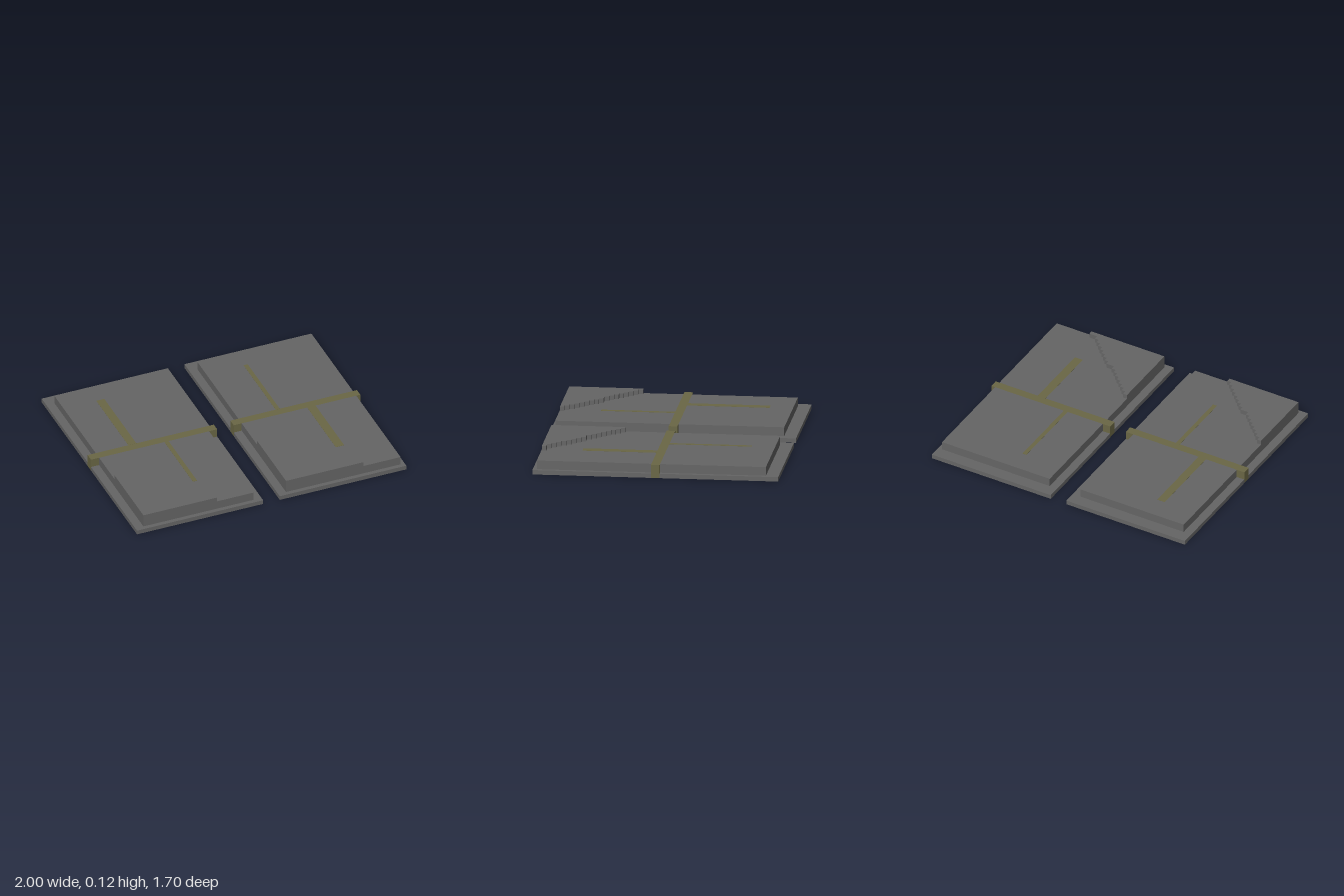
import * as THREE from 'three';

const BASE_TOP = 0.031, SLAB_TOP = 0.092, CORNER_TOP = 0.124;
const HALF_DEPTH = 0.848, SLAB_BACK = -0.76, SLAB_FRONT = 0.818, BEAM = 0.03;
const CORNER_BACK = 0.304, ROWS = 17;

// Box given by its limits on each axis
function block(name, material, x0, x1, y0, y1, z0, z1) {
  const mesh = new THREE.Mesh(new THREE.BoxGeometry(x1 - x0, y1 - y0, z1 - z0), material);
  mesh.position.set((x0 + x1) / 2, (y0 + y1) / 2, (z0 + z1) / 2);
  mesh.name = name;
  return mesh;
}

// Raised triangular corner with a stair-stepped diagonal edge
function steppedCorner(material, x0, x1, columns, rowColumns) {
  const dz = (SLAB_FRONT - CORNER_BACK) / ROWS;
  const dx = (x1 - x0) / columns;
  const shape = new THREE.Shape();
  shape.moveTo(x0, CORNER_BACK);
  for (let i = 0; i < ROWS; i++) {
    const x = x0 + rowColumns(i) * dx;
    shape.lineTo(x, CORNER_BACK + i * dz);
    shape.lineTo(x, CORNER_BACK + (i + 1) * dz);
  }
  shape.lineTo(x0, SLAB_FRONT);
  shape.closePath();
  const geometry = new THREE.ExtrudeGeometry(shape, { depth: CORNER_TOP - SLAB_TOP, bevelEnabled: false });
  geometry.rotateX(Math.PI / 2);
  const mesh = new THREE.Mesh(geometry, material);
  mesh.position.y = CORNER_TOP;
  mesh.name = 'steppedCorner';
  return mesh;
}

function panel(p, stone, olive) {
  const g = new THREE.Group();
  g.name = p.name;
  const [b0, b1] = p.base, [s0, s1] = p.slab;

  // Base plate and slab, each in two halves around the cross beam
  g.add(
    block('baseBack', stone, b0, b1, 0, BASE_TOP, -HALF_DEPTH, -BEAM),
    block('baseFront', stone, b0, b1, 0, BASE_TOP, BEAM, HALF_DEPTH),
    block('slabBack', stone, s0, s1, BASE_TOP, SLAB_TOP, SLAB_BACK, -BEAM),
    block('slabFront', stone, s0, s1, BASE_TOP, SLAB_TOP, BEAM, SLAB_FRONT),
    block('crossBeam', olive, b0, b1, 0, SLAB_TOP, -BEAM, BEAM)
  );

  // Inlaid strips running back and forward from the beam
  const y0 = SLAB_TOP - 0.004, y1 = SLAB_TOP + 0.001;
  g.add(
    block('backStrip', olive, ...p.backStrip, y0, y1, -0.6, -BEAM),
    block('frontStrip', olive, ...p.frontStrip, y0, y1, BEAM, 0.54)
  );

  g.add(steppedCorner(stone, s0, p.cornerEnd, p.columns, p.rowColumns));
  return g;
}

export function createModel() {
  const stone = new THREE.MeshStandardMaterial({ color: 0x656565 });
  stone.name = 'stoneGrey';
  const olive = new THREE.MeshStandardMaterial({ color: 0x6a6745 });
  olive.name = 'olive';

  const model = new THREE.Group();
  model.name = 'twinPanels';
  model.add(
    panel({
      name: 'rightPanel', base: [-1, -0.063], slab: [-0.94, -0.123],
      backStrip: [-0.698, -0.639], frontStrip: [-0.456, -0.425],
      cornerEnd: -0.395, columns: 18,
      rowColumns: i => i + (i < 8 ? 1 : 2)
    }, stone, olive),
    panel({
      name: 'leftPanel', base: [0.06, 1], slab: [0.119, 0.97],
      backStrip: [0.396, 0.426], frontStrip: [0.605, 0.667],
      cornerEnd: 0.695, columns: 19,
      rowColumns: i => i + (i < 8 ? 1 : i < ROWS - 1 ? 2 : 3)
    }, stone, olive)
  );
  return model;
}
